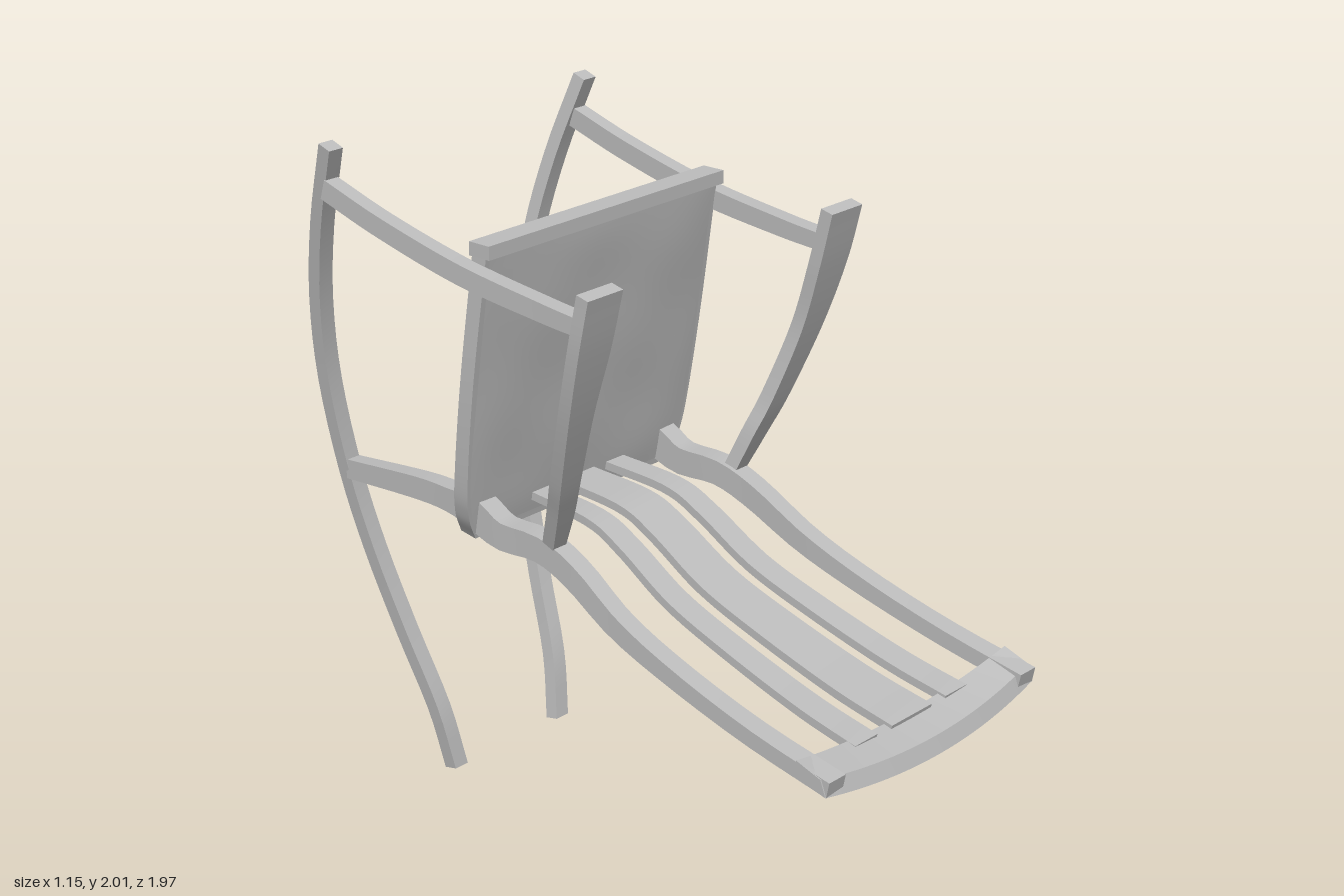
import * as THREE from 'three';

const wood = new THREE.MeshStandardMaterial({ color: 0xbebebe });
wood.name = 'plain grey';

// Skin a list of four-cornered sections; edges stay sharp, lengths stay smooth.
function loft(sections) {
  const pos = [], idx = [];
  const last = sections.length - 1;
  for (let j = 0; j < 4; j++) {
    const base = pos.length / 3;
    sections.forEach((s, i) => {
      pos.push(...s[j], ...s[(j + 1) % 4]);
      if (i < last) {
        const a = base + i * 2;
        idx.push(a, a + 1, a + 3, a, a + 3, a + 2);
      }
    });
  }
  for (const [s, o] of [[sections[0], [0, 2, 1, 0, 3, 2]], [sections[last], [0, 1, 2, 0, 2, 3]]]) {
    const base = pos.length / 3;
    s.forEach((p) => pos.push(...p));
    idx.push(...o.map((k) => base + k));
  }
  const g = new THREE.BufferGeometry();
  g.setAttribute('position', new THREE.Float32BufferAttribute(pos, 3));
  g.setIndex(idx);
  g.computeVertexNormals();
  return g;
}

// Sections of a bent bar. Each point is [x, y, z, width, thickness].
function bar(points, steps = 32) {
  const curve = (f) => new THREE.CatmullRomCurve3(points.map(f), false, 'catmullrom', 0.5);
  const path = curve((p) => new THREE.Vector3(p[0], p[1], p[2]));
  const size = curve((p) => new THREE.Vector3(p[3], p[4], 0));
  const out = [];
  for (let i = 0; i <= steps; i++) {
    const c = path.getPoint(i / steps), s = size.getPoint(i / steps), t = path.getTangent(i / steps);
    const n = new THREE.Vector3(0, t.z, -t.y).normalize();
    out.push([[-1, -1], [1, -1], [1, 1], [-1, 1]].map(([a, b]) => [
      c.x + a * s.x / 2, c.y + b * n.y * s.y / 2, c.z + b * n.z * s.y / 2]));
  }
  return out;
}

const mirrored = (sections) =>
  sections.map((s) => s.map(([x, y, z]) => [-x, y, z]).reverse());

export function createModel() {
  const model = new THREE.Group();
  model.name = 'tippedRockingChair';
  const add = (name, geometry) => {
    const m = new THREE.Mesh(geometry, wood);
    m.name = name;
    model.add(m);
    return m;
  };
  const pair = (name, points) => {
    const s = bar(points);
    add(name + 'Left', loft(s));
    add(name + 'Right', loft(mirrored(s)));
  };

  // Curved rockers, leaning outwards in a straight plane
  const rocker = [[0, -0.67], [0.2, -0.71], [0.44, -0.8], [0.7, -0.885], [0.95, -0.94],
    [1.24, -0.965], [1.5, -0.945], [1.75, -0.885], [2, -0.795]];
  pair('rocker', rocker.map(([y, z]) => [0.225 + 0.147 * y, y, z, 0.052, 0.045]));

  // Back posts, running on into the rear legs
  pair('backPost', [
    [0.432, 0.575, 0.96, 0.07, 0.048], [0.425, 0.635, 0.67, 0.065, 0.05],
    [0.415, 0.71, 0.4, 0.062, 0.055], [0.405, 0.79, 0.18, 0.06, 0.065],
    [0.39, 0.89, 0, 0.062, 0.075], [0.385, 0.935, -0.13, 0.065, 0.078],
    [0.385, 0.935, -0.28, 0.065, 0.085], [0.385, 0.975, -0.38, 0.065, 0.1],
    [0.38, 0.985, -0.48, 0.06, 0.075], [0.375, 0.985, -0.62, 0.055, 0.07],
    [0.367, 0.96, -0.93, 0.048, 0.06]]);

  // Front legs between arms and rockers
  pair('frontLeg', [
    [0.503, 1.68, 0.16, 0.055, 0.05], [0.503, 1.695, 0, 0.053, 0.055],
    [0.505, 1.735, -0.3, 0.052, 0.06], [0.508, 1.805, -0.6, 0.05, 0.06],
    [0.51, 1.872, -0.82, 0.05, 0.06]]);

  // Broad arms tapering towards the back
  pair('arm', [
    [0.392, 0.955, -0.085, 0.05, 0.045], [0.42, 1.08, -0.03, 0.07, 0.045],
    [0.452, 1.2, 0.02, 0.08, 0.045], [0.492, 1.42, 0.1, 0.1, 0.043],
    [0.505, 1.62, 0.162, 0.13, 0.042], [0.508, 1.79, 0.205, 0.137, 0.042]]);

  // Seat slab with a straight front lip
  add('seatPanel', loft(bar([
    [0, 0.905, -0.4, 0.83, 0.058], [0, 0.98, -0.387, 0.9, 0.056],
    [0, 1.1, -0.367, 0.94, 0.052], [0, 1.4, -0.322, 0.965, 0.05],
    [0, 1.795, -0.262, 0.96, 0.052]])));
  const lip = add('seatLip', new THREE.BoxGeometry(0.975, 0.04, 0.075));
  lip.position.set(0, 1.8, -0.256);

  // Softly uneven seat covering
  const cover = new THREE.PlaneGeometry(0.9, 0.86, 30, 30);
  const p = cover.attributes.position;
  for (let i = 0; i < p.count; i++) {
    const u = p.getX(i) / 0.45, v = p.getY(i) / 0.43;
    const edge = (1 - u ** 6) * (1 - v ** 6);
    const wave = 0.006 + 0.002 * Math.sin(5 * u + 2 * v) * Math.cos(6 * v - u) - 0.002 * Math.exp(-9 * u * u);
    const y = 1.35 + v * 0.43;
    const taper = 1 - 0.1 * Math.max(0, -v) ** 4;
    p.setXYZ(i, u * 0.465 * taper, y, -0.302 + (y - 1.35) * 0.15 + edge * wave);
  }
  cover.computeVertexNormals();
  add('seatCover', cover);

  // Bent back slats
  const spine = [[0.585, 0.88], [0.63, 0.67], [0.71, 0.4], [0.79, 0.18],
    [0.895, 0], [0.95, -0.13], [0.968, -0.36]];
  const slat = (x0, x1, w0, w1) => bar(spine.map(([y, z]) => {
    const k = (0.88 - z) / 1.24;
    return [x0 + (x1 - x0) * k, y, z, w0 + (w1 - w0) * k, 0.025];
  }));
  add('centreSlat', loft(slat(0, 0, 0.18, 0.135)));
  const side = slat(0.203, 0.158, 0.097, 0.075);
  add('sideSlatLeft', loft(side));
  add('sideSlatRight', loft(mirrored(side)));

  // Crest rail, bowed outwards and down at the middle
  const crest = [];
  for (let i = 0; i <= 24; i++) {
    const x = -0.47 + 0.94 * i / 24;
    const bow = 1 - (x / 0.47) ** 2;
    const zf = 0.955 + 0.03 * bow, y = 0.553 - 0.038 * bow;
    crest.push([[x, y, zf], [x, y + 0.03, 0.845], [x, y + 0.077, 0.855], [x, y + 0.048, zf - 0.018]]);
  }
  add('crestRail', loft(crest));

  return model;
}
